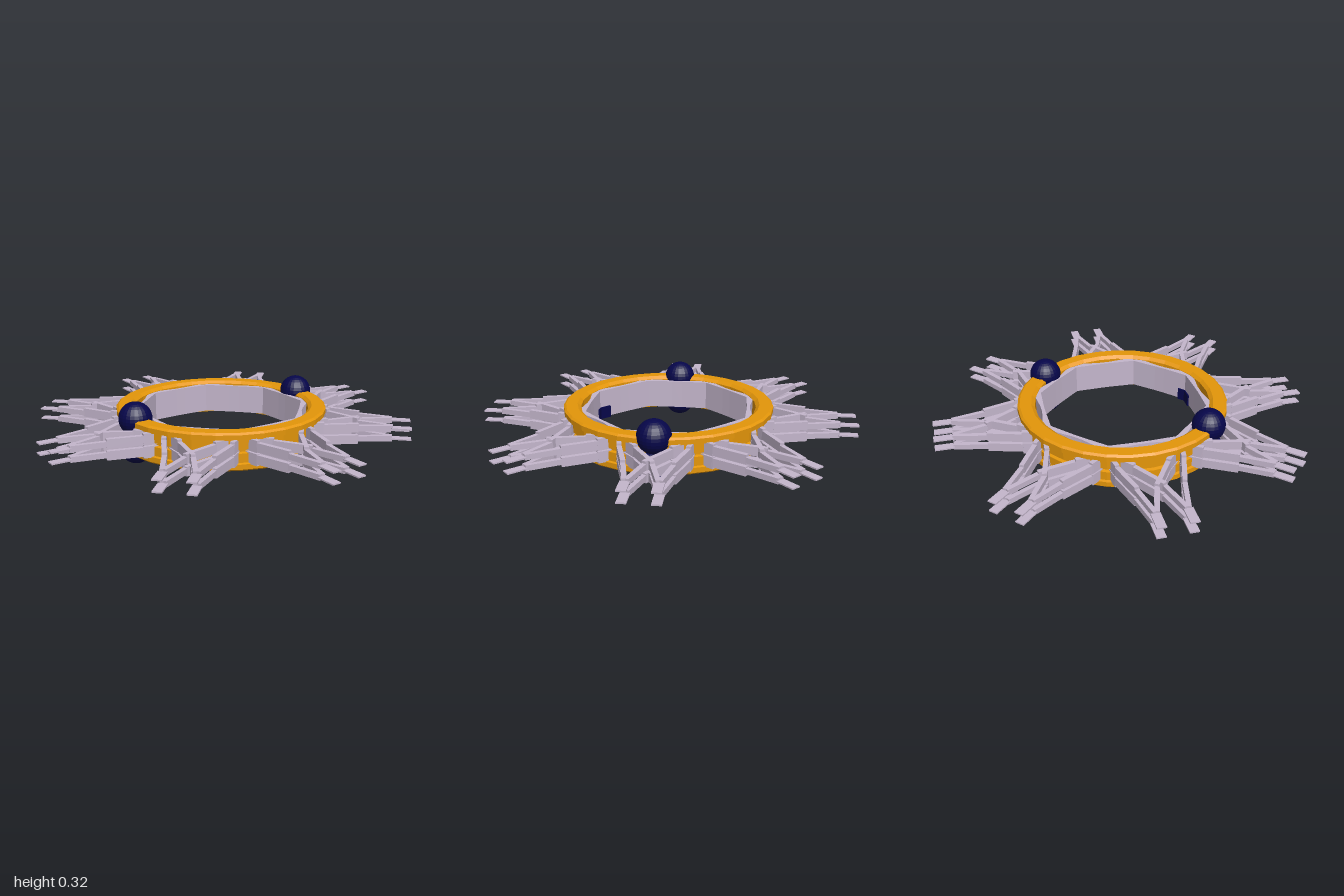
import * as THREE from 'three';

const gold = new THREE.MeshStandardMaterial({ color: 0xe4960a, flatShading: true });
gold.name = 'gold';
const mauve = new THREE.MeshStandardMaterial({ color: 0xc4b6cc, flatShading: true });
mauve.name = 'mauve grey';
const navy = new THREE.MeshStandardMaterial({ color: 0x06064a, flatShading: true });
navy.name = 'navy';

const TILT = 0.01; // slight twist of the whole arm pattern

function add(parent, name, geometry, material) {
  const mesh = new THREE.Mesh(geometry, material);
  mesh.name = name;
  parent.add(mesh);
  return mesh;
}

// Bar between two plan points [radial, tangential]
function bar(parent, name, a, b, y, width, height, overlap = 0.006) {
  const dx = b[0] - a[0], dz = b[1] - a[1];
  const length = Math.hypot(dx, dz) + overlap;
  const mesh = add(parent, name, new THREE.BoxGeometry(length, height, width), mauve);
  mesh.position.set((a[0] + b[0]) / 2, y, (a[1] + b[1]) / 2);
  mesh.rotation.y = -Math.atan2(dz, dx);
}

// Strut paths, from the tip inward; heights grow toward the hub
const outerPath = [[0.9, 0.078], [0.73, 0.115], [0.56, 0.165], [0.44, 0.186]];
const crossPath = [[0.9, 0.068], [0.73, 0.018], [0.57, -0.085], [0.45, -0.19]];
const heights = [0.028, 0.046, 0.06];

function arm() {
  const group = new THREE.Group();
  for (const [tipY, strutY] of [[0.175, 0.181], [0.121, 0.115]]) {
    for (const s of [-1, 1]) {
      bar(group, 'tipPlate', [0.9, s * 0.075], [1, s * 0.075], tipY, 0.046, 0.007, 0);
      for (const [name, path] of [['outerStrut', outerPath], ['crossStrut', crossPath]]) {
        for (let i = 0; i < 3; i++) {
          const y = THREE.MathUtils.lerp(tipY, strutY, i / 2);
          const a = [path[i][0], s * path[i][1]];
          const b = [path[i + 1][0], s * path[i + 1][1]];
          bar(group, name, a, b, y, 0.024, heights[i]);
        }
      }
    }
  }
  return group;
}

// One wall side, thin in the middle and thicker toward its corners
const wallShape = new THREE.Shape([
  [0.415, -0.172], [0.458, -0.19], [0.438, -0.03], [0.438, 0.03],
  [0.458, 0.19], [0.415, 0.172], [0.42, 0.03], [0.42, -0.03],
].map(([r, t]) => new THREE.Vector2(r, t)));
const wallGeometry = new THREE.ExtrudeGeometry(wallShape, { depth: 0.159, bevelEnabled: false });
wallGeometry.rotateX(-Math.PI / 2).translate(0, 0.067, 0);

// Navy panel that wraps one inner corner: side index -> [from, to] along that side
const cornerPanel = { 5: [-0.172, -0.105], 6: [0.13, 0.172] };

export function createModel() {
  const model = new THREE.Group();
  model.name = 'ringStation';

  // Gold ring with flanges, a recessed band and a centre groove
  const profile = [
    [0.47, 0.055], [0.55, 0.053], [0.56, 0.062], [0.56, 0.088], [0.547, 0.092],
    [0.547, 0.138], [0.53, 0.142], [0.53, 0.154], [0.547, 0.158], [0.547, 0.204],
    [0.56, 0.208], [0.56, 0.234], [0.548, 0.243], [0.487, 0.243], [0.468, 0.228],
    [0.468, 0.068], [0.47, 0.055],
  ].map(([r, y]) => new THREE.Vector2(r, y));
  add(model, 'ring', new THREE.LatheGeometry(profile, 30), gold);

  // Eight arms, each with its side of the inner wall
  for (let i = 0; i < 8; i++) {
    const sector = arm();
    sector.name = 'arm';
    sector.rotation.y = i * Math.PI / 4 + TILT;
    add(sector, 'innerWall', wallGeometry, mauve);
    if (cornerPanel[i]) {
      const [from, to] = cornerPanel[i];
      const panel = add(sector, 'cornerPanel',
        new THREE.BoxGeometry(0.008, 0.068, to - from), navy);
      panel.position.set(0.413, 0.095, (from + to) / 2);
    }
    model.add(sector);
  }

  // Domes above and below the ring on both sides
  for (const x of [-1, 1]) {
    for (const [name, y] of [['upperDome', 0.235], ['lowerDome', 0.087]]) {
      const dome = add(model, name, new THREE.SphereGeometry(0.086, 24, 16), navy);
      dome.position.set(x * 0.513, y, 0);
    }
  }
  return model;
}
